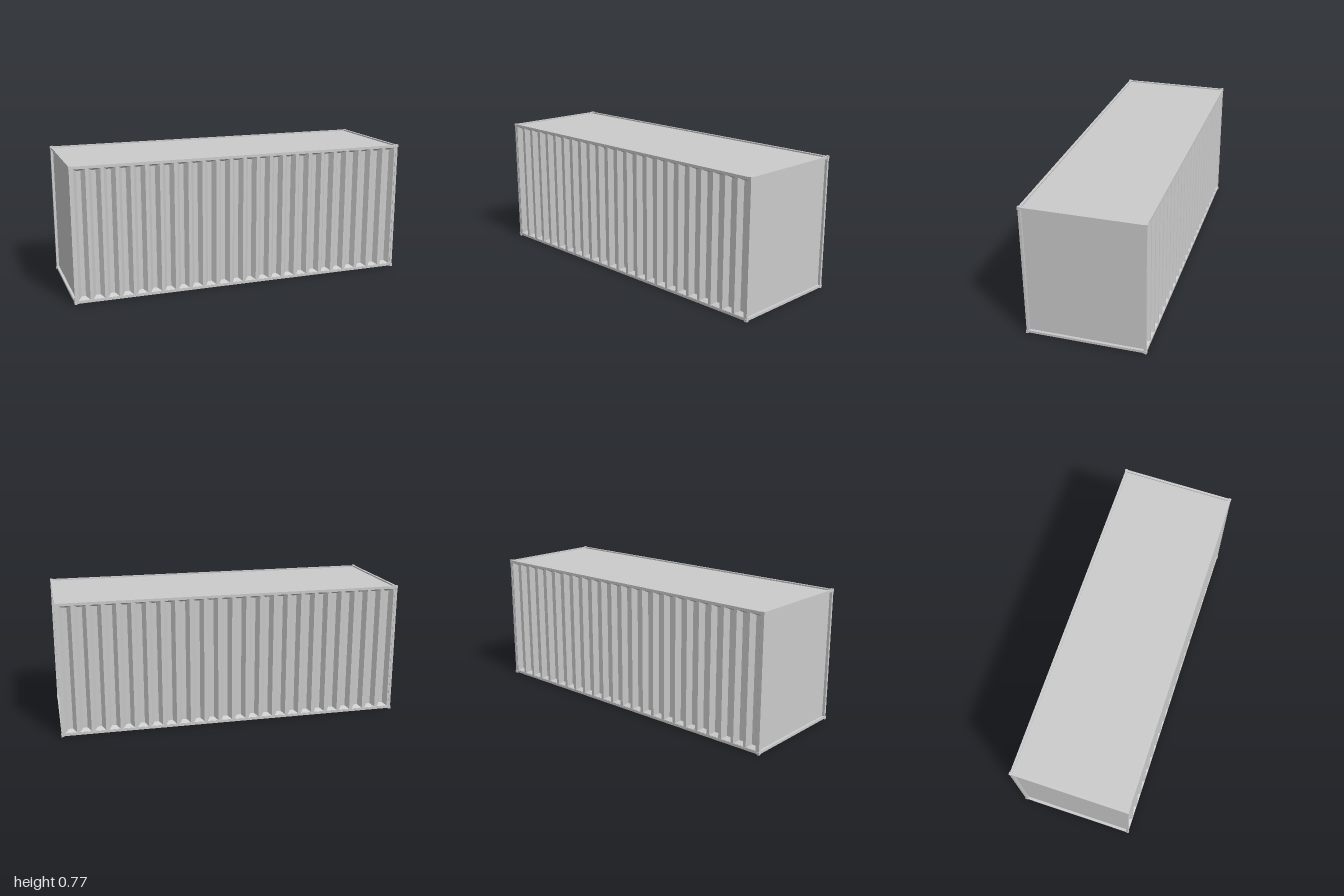
import * as THREE from 'three';

const material = new THREE.MeshStandardMaterial({ color: 0xcccccc, flatShading: true, side: THREE.DoubleSide });

// Main dimensions: half length, half width, and the bottom and top of the frame
const HX = 0.998, HZ = 0.336, Y0 = 0.004, Y1 = 0.772;
const BAR = 0.014, RIBS = 24, MID = (Y0 + Y1) / 2;

function box(parent, name, size, position) {
  const mesh = new THREE.Mesh(new THREE.BoxGeometry(...size), material);
  mesh.name = name;
  mesh.position.set(...position);
  parent.add(mesh);
}

// Side wall facing +z: a row of pressed pockets with sloping edges on all four sides
function corrugatedWall() {
  const left = -HX + BAR, pitch = -2 * left / RIBS;
  const bottom = Y0 + BAR, top = Y1 - BAR;
  const positions = [];
  const ring = (x, halfWidth, inset, z) => [
    [x - halfWidth, bottom + inset, z], [x + halfWidth, bottom + inset, z],
    [x + halfWidth, top - inset, z], [x - halfWidth, top - inset, z],
  ];
  const quad = (a, b, c, d) => positions.push(...a, ...b, ...c, ...a, ...c, ...d);
  for (let i = 0; i < RIBS; i++) {
    const x = left + (i + 0.5) * pitch;
    const rings = [
      ring(x, pitch / 2, 0, HZ - 0.002),
      ring(x, 0.032, 0.002, HZ - 0.002),
      ring(x, 0.012, 0.016, HZ - 0.03),
    ];
    for (let r = 0; r < 2; r++) {
      for (let k = 0; k < 4; k++) {
        const n = (k + 1) % 4;
        quad(rings[r][k], rings[r][n], rings[r + 1][n], rings[r + 1][k]);
      }
    }
    quad(...rings[2]);
  }
  const geometry = new THREE.BufferGeometry();
  geometry.setAttribute('position', new THREE.Float32BufferAttribute(positions, 3));
  geometry.computeVertexNormals();
  return geometry;
}

export function createModel() {
  const model = new THREE.Group();
  model.name = 'shippingContainer';

  // Corrugated long sides
  const wall = corrugatedWall();
  ['frontWall', 'backWall'].forEach((name, i) => {
    const mesh = new THREE.Mesh(wall, material);
    mesh.name = name;
    mesh.rotation.y = i * Math.PI;
    model.add(mesh);
  });

  // Roof and floor sheets, set slightly inside the frame
  const sheet = [2 * (HX - BAR), 0.006, 2 * (HZ - BAR)];
  box(model, 'roof', sheet, [0, Y1 - 0.011, 0]);
  box(model, 'floor', sheet, [0, Y0 + 0.011, 0]);

  // Rails along the length
  for (const y of [Y0 + BAR / 2, Y1 - BAR / 2]) {
    for (const s of [-1, 1]) {
      box(model, 'sideRail', [2 * (HX - BAR), BAR, BAR], [0, y, s * (HZ - BAR / 2)]);
    }
  }

  // Ends: recessed flat panel, cross rails, posts and corner blocks
  for (const s of [-1, 1]) {
    const end = new THREE.Group();
    end.name = s > 0 ? 'leftEnd' : 'rightEnd';
    const x = s * (HX - BAR / 2);
    box(end, 'endPanel', [0.006, Y1 - Y0 - 2 * BAR, 2 * (HZ - BAR)], [s * (HX - 0.018), MID, 0]);
    for (const t of [-1, 1]) {
      box(end, 'crossRail', [BAR, BAR, 2 * (HZ - BAR)], [x, MID + t * ((Y1 - Y0 - BAR) / 2), 0]);
      box(end, 'cornerPost', [BAR, Y1 - Y0, BAR], [x, MID, t * (HZ - BAR / 2)]);
      for (const y of [0.008, 0.767]) {
        box(end, 'cornerBlock', [0.016, 0.016, 0.016], [s * 0.992, y, t * 0.331]);
      }
    }
    model.add(end);
  }
  return model;
}
